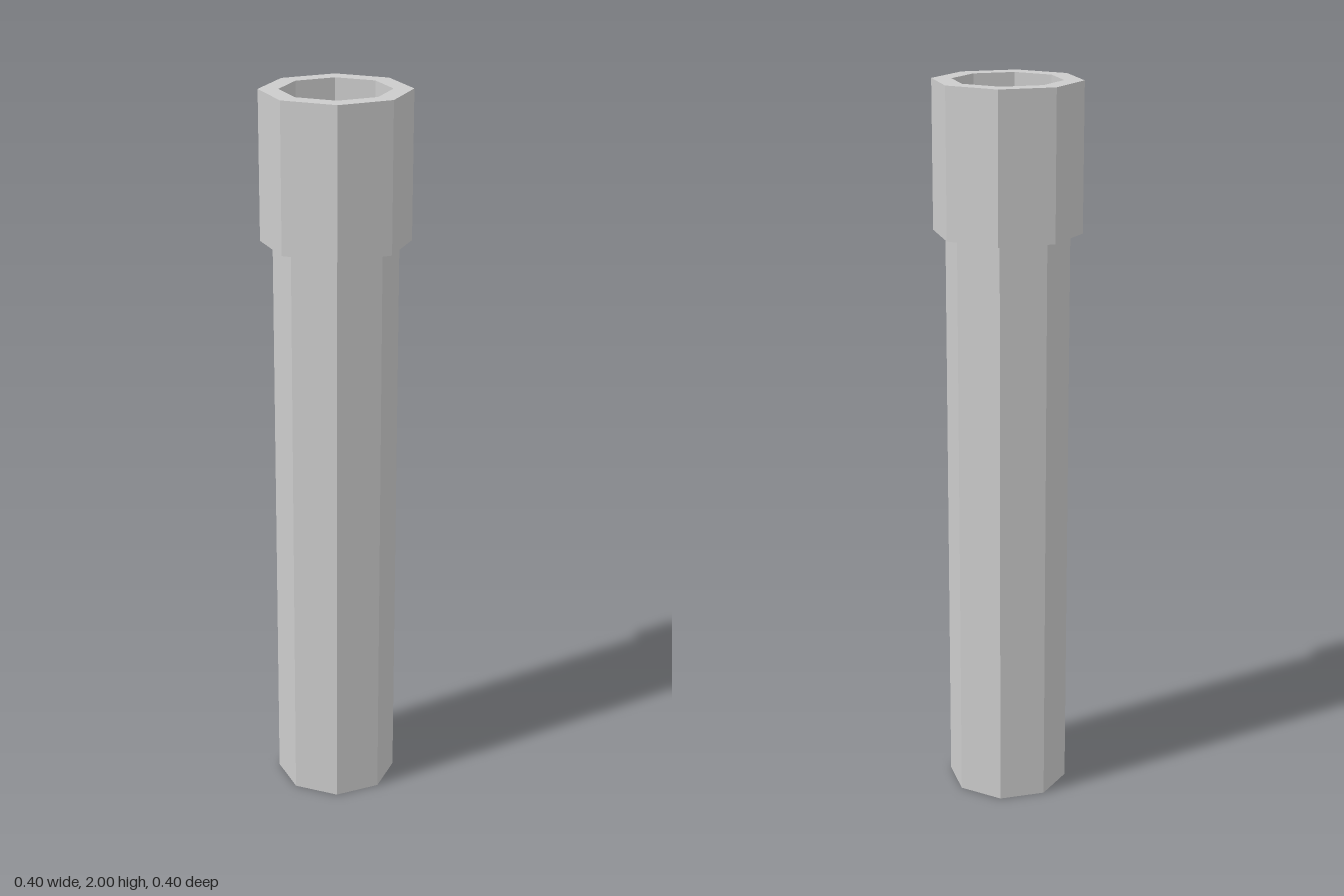
import * as THREE from 'three';

const SIDES = 8;

// Faceted solid of revolution; the profile runs up the outside, then inward.
function turned(name, profile, material) {
  const points = profile.map(([r, y]) => new THREE.Vector2(r, y));
  const mesh = new THREE.Mesh(new THREE.LatheGeometry(points, SIDES), material);
  mesh.name = name;
  return mesh;
}

export function createModel() {
  const group = new THREE.Group();
  group.name = 'socketedPost';
  const material = new THREE.MeshStandardMaterial({ color: 0xcccccc, flatShading: true });

  const shaftRadius = 0.167, collarRadius = 0.2, socketRadius = 0.147;
  const collarBottom = 1.6, top = 2;

  // Long octagonal shaft with a closed base
  group.add(turned('shaft', [
    [0, 0], [shaftRadius, 0], [shaftRadius, collarBottom],
  ], material));

  // Wider collar: underside ledge, outer wall, rim, socket wall and socket floor
  group.add(turned('collar', [
    [shaftRadius, collarBottom], [collarRadius, collarBottom], [collarRadius, top],
    [socketRadius, top], [socketRadius, collarBottom], [0, collarBottom],
  ], material));

  return group;
}
